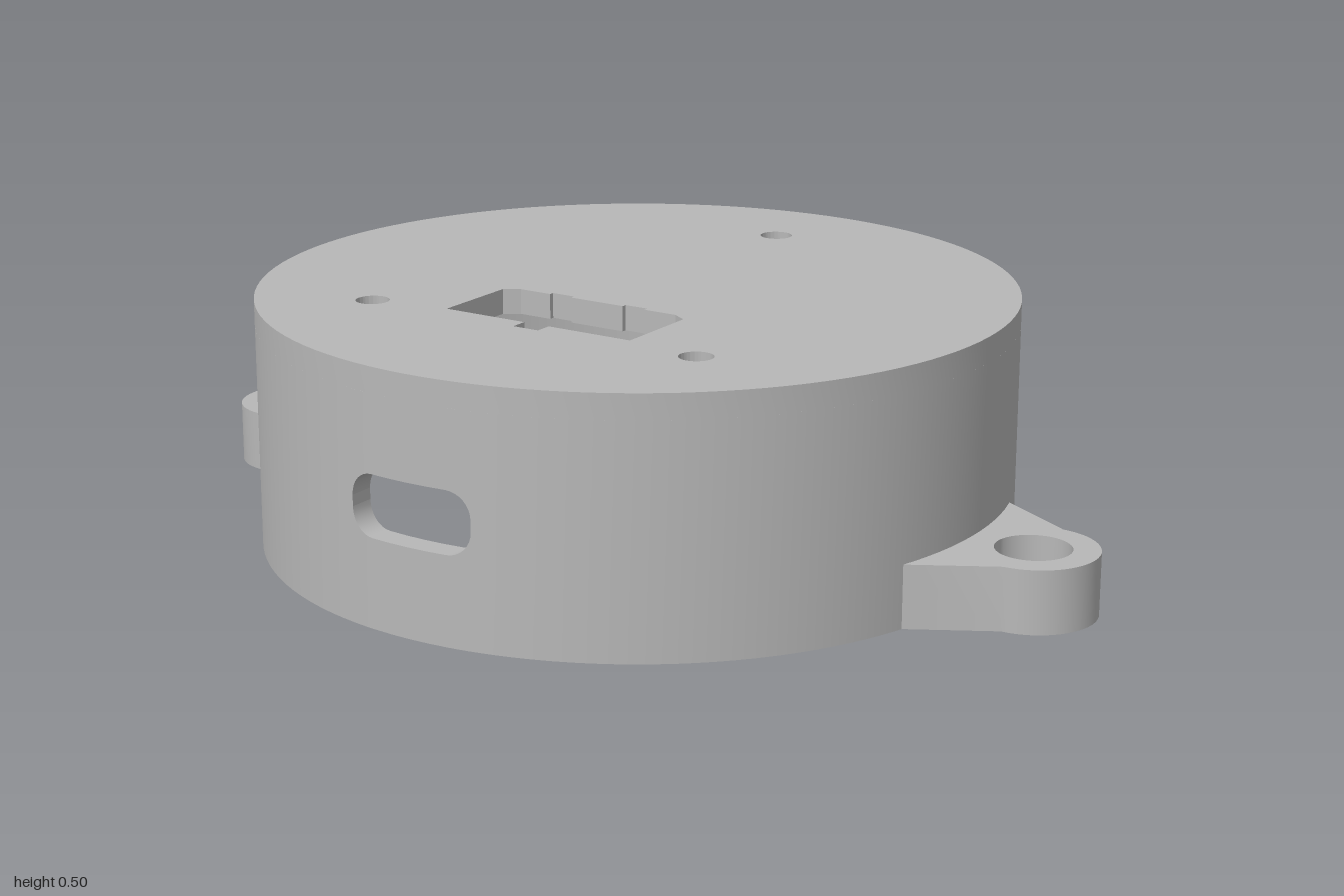
import * as THREE from 'three';
import { mergeGeometries, toCreasedNormals } from 'three/addons/utils/BufferGeometryUtils.js';

const R = 0.75, INNER = 0.7, HEIGHT = 0.5, ROOF = 0.05;
const SLOT = { half: 0.133, y: 0.237, tall: 0.061, round: 0.05 };

// Joins rectangular cross-sections (outer bottom, outer top, inner top, inner bottom) into a capped solid
function sweep(sections) {
  const pos = [];
  const quad = (a, b, c, d) => pos.push(...a, ...b, ...c, ...a, ...c, ...d);
  for (let i = 0; i < sections.length - 1; i++) {
    const s = sections[i], n = sections[i + 1];
    for (let k = 0; k < 4; k++) quad(s[k], n[k], n[(k + 1) % 4], s[(k + 1) % 4]);
  }
  const [a, b, c, d] = sections[0];
  quad(a, b, c, d);
  const [e, f, g, h] = sections[sections.length - 1];
  quad(h, g, f, e);
  const geo = new THREE.BufferGeometry();
  geo.setAttribute('position', new THREE.Float32BufferAttribute(pos, 3));
  return geo;
}

const section = (xo, zo, xi, zi, y0, y1) =>
  [[xo, y0, zo], [xo, y1, zo], [xi, y1, zi], [xi, y0, zi]];

// Ring wall with a rounded slot cut straight through the front
function wallGeometry() {
  const top = HEIGHT - ROOF, { half, y, tall, round } = SLOT;
  const ring = [], below = [], above = [];
  const ao = Math.asin(half / R), ai = Math.asin(half / INNER), N = 120;
  for (let i = 0; i <= N; i++) {
    const t = i / N;
    const o = ao + (2 * Math.PI - 2 * ao) * t, n = ai + (2 * Math.PI - 2 * ai) * t;
    ring.push(section(R * Math.sin(o), R * Math.cos(o), INNER * Math.sin(n), INNER * Math.cos(n), 0, top));
  }
  const flat = half - round, left = [];
  for (let i = 0; i <= 8; i++) left.push(-flat - round * Math.cos(i * Math.PI / 16));
  const xs = [...left, -flat / 2, 0, flat / 2, ...left.map(x => -x).reverse()];
  for (const x of xs) {
    const d = Math.max(0, Math.abs(x) - flat);
    const h = tall - round + Math.sqrt(Math.max(0, round * round - d * d));
    const zo = Math.sqrt(R * R - x * x), zi = Math.sqrt(INNER * INNER - x * x);
    below.push(section(x, zo, x, zi, 0, y - h));
    above.push(section(x, zo, x, zi, y + h, top));
  }
  return toCreasedNormals(mergeGeometries([sweep(ring), sweep(below), sweep(above)]), 0.6);
}

// Extrudes a plan outline (x, z) downward from height y
function slab(shape, y, depth, curveSegments) {
  const geo = new THREE.ExtrudeGeometry(shape, { depth, bevelEnabled: false, curveSegments });
  geo.rotateX(Math.PI / 2).translate(0, y, 0);
  return toCreasedNormals(geo, 0.5);
}

const circle = (x, z, r) => new THREE.Path().absarc(x, z, r, 0, Math.PI * 2, true);

function roofShape() {
  const shape = new THREE.Shape().absarc(0, 0, R, 0, Math.PI * 2, false);
  // three screw holes
  for (const [x, z] of [[0, -0.53], [0.37, 0.37], [-0.37, 0.37]]) shape.holes.push(circle(x, z, 0.033));
  // connector window with clipped corners, two small notches and a key slot
  const half = [[0.028, 0.38], [0.028, 0.345], [0.21, 0.345], [0.21, 0.163], [0.18, 0.144],
    [0.11, 0.144], [0.11, 0.134], [0.06, 0.134], [0.06, 0.144]];
  const pts = [...half, ...half.map(([x, z]) => [-x, z]).reverse()];
  shape.holes.push(new THREE.Path(pts.map(p => new THREE.Vector2(...p))));
  return shape;
}

// Mounting ear on one side
function earShape(side) {
  const a = Math.atan2(0.215, 0.717), r = 0.73, cx = 0.875, pts = [];
  for (let i = 0; i <= 12; i++) {
    const t = a - 2 * a * i / 12;
    pts.push([r * Math.cos(t), r * Math.sin(t)]);
  }
  pts.push([0.717, -0.215]);
  for (let i = 0; i <= 28; i++) {
    const t = -Math.PI / 2 + Math.PI * i / 28;
    pts.push([cx + 0.125 * Math.cos(t), 0.125 * Math.sin(t)]);
  }
  pts.push([0.717, 0.215]);
  const shape = new THREE.Shape(pts.map(([x, z]) => new THREE.Vector2(side * x, z)));
  shape.holes.push(circle(side * cx, 0, 0.073));
  return shape;
}

export function createModel() {
  const group = new THREE.Group();
  group.name = 'roundEnclosure';
  const grey = new THREE.MeshStandardMaterial({ color: 0xb8b8b8 });
  grey.name = 'plastic grey';
  const add = (name, geo) => {
    const mesh = new THREE.Mesh(geo, grey);
    mesh.name = name;
    group.add(mesh);
  };
  add('wall', wallGeometry());
  add('topPlate', slab(roofShape(), HEIGHT, ROOF, 60));
  add('leftEar', slab(earShape(1), 0.125, 0.125, 24));
  add('rightEar', slab(earShape(-1), 0.125, 0.125, 24));
  return group;
}
